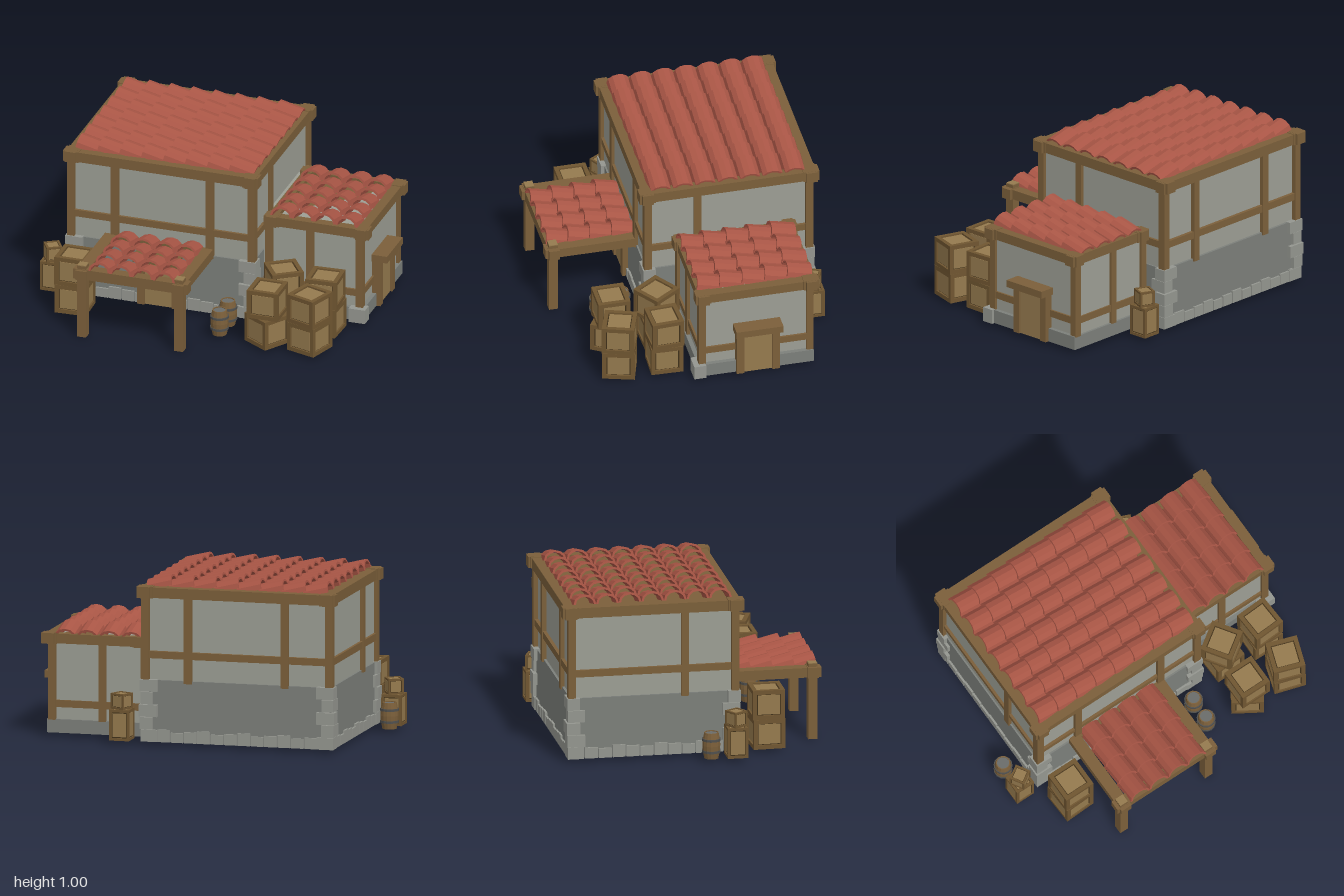
import * as THREE from 'three';

const mat = (color) => new THREE.MeshStandardMaterial({ color, flatShading: true });
const M = {
  wall: mat(0x9c9e94), base: mat(0x7c7f7a), stone: mat(0x94968f), beam: mat(0x7b5f3a),
  panel: mat(0x957a4e), dark: mat(0x3f3019), frame: mat(0x705631), tile: mat(0xa85545),
  hoop: mat(0x50504e), lid: mat(0x6a6c6a),
};
M.tile.side = THREE.DoubleSide;

// Box from its minimum and maximum corners
function span(parent, name, m, x0, x1, y0, y1, z0, z1) {
  const b = new THREE.Mesh(new THREE.BoxGeometry(x1 - x0, y1 - y0, z1 - z0), m);
  b.position.set((x0 + x1) / 2, (y0 + y1) / 2, (z0 + z1) / 2);
  b.name = name;
  parent.add(b);
  return b;
}

function group(parent, name) {
  const g = new THREE.Group();
  g.name = name;
  parent.add(g);
  return g;
}

// Arched roof tile: its raised end points to +z
function tileGeometry() {
  const n = 6, pts = [];
  const arc = (rx, ry, i) => new THREE.Vector2(Math.cos(Math.PI * i / n) * rx, Math.sin(Math.PI * i / n) * ry);
  for (let i = 0; i <= n; i++) pts.push(arc(0.067, 0.058, i));
  for (let i = n; i >= 0; i--) pts.push(arc(0.054, 0.045, i));
  const g = new THREE.ExtrudeGeometry(new THREE.Shape(pts), { depth: 0.15, bevelEnabled: false });
  g.translate(0, 0, -0.075);
  g.rotateX(-0.24);
  return g;
}
const TILE = tileGeometry();

// Rows of tiles; place(row, step) gives x and z of each tile
function tiles(parent, name, rows, steps, y, turn, place) {
  const g = group(parent, name);
  for (let r = 0; r < rows; r++) for (let s = 0; s < steps; s++) {
    const t = new THREE.Mesh(TILE, M.tile);
    const [x, z] = place(r, s);
    t.position.set(x, y, z);
    t.rotation.y = turn;
    t.name = 'roofTile';
    g.add(t);
  }
}

// Rectangle of roof beams with crossed ends at the corners
function beamRing(parent, name, x0, x1, z0, z1, y0, y1, w) {
  const g = group(parent, name);
  for (const z of [z0, z1 - w]) span(g, 'roofBeam', M.beam, x0, x1, y0, y1, z, z + w);
  for (const x of [x0, x1 - w]) span(g, 'roofBeam', M.beam, x, x + w, y0, y1, z0, z1);
  for (const x of [x0 + w / 2, x1 - w / 2]) for (const z of [z0 + w / 2, z1 - w / 2]) {
    const a = w / 2 + 0.018, b = w / 2 + 0.004;
    span(g, 'beamEnd', M.beam, x - a, x + a, y0 - 0.003, y1 + 0.003, z - b, z + b);
    span(g, 'beamEnd', M.beam, x - b, x + b, y0 - 0.002, y1 + 0.004, z - a, z + a);
  }
}

// Row of stones along the foot of the walls, around a rectangle
function footStones(parent, x0, x1, z0, z1, h) {
  const g = group(parent, 'footStones');
  const row = (a, b, put) => {
    const n = Math.round((b - a) / 0.083), s = (b - a) / n;
    for (let i = 0; i < n; i++) put(a + i * s + 0.003, a + (i + 1) * s - 0.003, h - 0.008 * (i % 3));
  };
  for (const z of [z0, z1]) row(x0, x1, (a, b, t) => span(g, 'footStone', M.stone, a, b, 0.022, t, z - 0.012, z + 0.012));
  for (const x of [x0, x1]) row(z0, z1, (a, b, t) => span(g, 'footStone', M.stone, x - 0.012, x + 0.012, 0.022, t, a, b));
}

// Corner stones with alternating long sides
function quoins(parent, x, z, sx, sz, count, h) {
  const g = group(parent, 'cornerStones');
  for (let i = 0; i < count; i++) {
    const lx = i % 2 ? 0.055 : 0.085, lz = i % 2 ? 0.085 : 0.055, o = 0.016 + 0.004 * (i % 3);
    const xs = [x + sx * o, x - sx * lx].sort((a, b) => a - b);
    const zs = [z + sz * o, z - sz * lz].sort((a, b) => a - b);
    span(g, 'cornerStone', M.stone, ...xs, 0.022 + i * h, 0.018 + (i + 1) * h, ...zs);
  }
}

// Door with jambs and lintel, facing +z from its foot
function door(parent, x, z, turn) {
  const g = group(parent, 'door');
  span(g, 'doorPanel', M.panel, -0.085, 0.085, 0, 0.29, -0.03, 0.012);
  for (const s of [-1, 1]) span(g, 'doorJamb', M.beam, s * 0.106 - 0.022, s * 0.106 + 0.022, 0, 0.29, -0.03, 0.025);
  span(g, 'doorLintel', M.beam, -0.14, 0.14, 0.287, 0.33, -0.03, 0.07);
  g.position.set(x, 0.025, z);
  g.rotation.y = turn;
}

// Crate: dark core, inset panels, twelve edge bars
function crate(parent, x, y, z, w, h, turn) {
  const g = group(parent, 'crate'), t = w * 0.13;
  const add = (name, m, a, b, c, px = 0, py = 0, pz = 0) =>
    span(g, name, m, px - a / 2, px + a / 2, py - b / 2, py + b / 2, pz - c / 2, pz + c / 2);
  add('crateCore', M.dark, w * 0.88, h - w * 0.12, w * 0.88);
  const pw = (w - 2 * t) * 0.92, ph = (h - 2 * t) * 0.92;
  add('cratePanel', M.panel, w * 0.93, ph, pw);
  add('cratePanel', M.panel, pw, h - w * 0.07, pw);
  add('cratePanel', M.panel, pw, ph, w * 0.93);
  for (const i of [-1, 1]) for (const j of [-1, 1]) {
    const e = (w - t) / 2, f = (h - t) / 2;
    add('crateBar', M.frame, w, t, t, 0, i * f, j * e);
    add('crateBar', M.frame, t, h, t, i * e, 0, j * e);
    add('crateBar', M.frame, t, t, w, i * e, j * f, 0);
  }
  g.position.set(x, y + h / 2, z);
  g.rotation.y = turn;
}

// Barrel with two hoops and a sunken lid
function barrel(parent, x, z) {
  const g = group(parent, 'barrel');
  const lathe = (name, m, p) => {
    const b = new THREE.Mesh(new THREE.LatheGeometry(p.map(([r, y]) => new THREE.Vector2(r, y)), 14), m);
    b.name = name;
    g.add(b);
  };
  lathe('barrelStaves', M.beam, [[0, 0], [0.042, 0], [0.051, 0.045], [0.053, 0.078], [0.051, 0.11], [0.042, 0.155], [0.036, 0.155], [0.036, 0.148]]);
  lathe('barrelLid', M.lid, [[0.038, 0.15], [0, 0.15]]);
  for (const y of [0.036, 0.106]) lathe('barrelHoop', M.hoop, [[0.048, y], [0.055, y], [0.055, y + 0.014], [0.048, y + 0.014]]);
  g.position.set(x, 0.022, z);
}

export function createModel() {
  const root = new THREE.Group();
  root.name = 'tradersHouse';

  // Main house
  const main = group(root, 'mainHouse');
  span(main, 'mainWalls', M.wall, -0.81, 0.3, 0.1, 0.9, -0.73, 0.23);
  span(main, 'stoneBase', M.base, -0.82, 0.31, 0.025, 0.385, -0.745, 0.24);
  footStones(main, -0.82, 0.31, -0.745, 0.24, 0.095);
  for (const [x, sx] of [[-0.82, -1], [0.31, 1]]) for (const [z, sz] of [[-0.745, -1], [0.24, 1]]) {
    quoins(main, x, z, sx, sz, 5, 0.074);
    span(main, 'cornerPost', M.beam, x - 0.01 - sx * 0.012, x + 0.01 + (-sx) * 0.012, 0.38, 0.88, z - 0.01, z + 0.01);
    span(main, 'cornerPost', M.beam, Math.min(x + sx * 0.012, x - sx * 0.033), Math.max(x + sx * 0.012, x - sx * 0.033),
      0.38, 0.88, Math.min(z + sz * 0.012, z - sz * 0.033), Math.max(z + sz * 0.012, z - sz * 0.033));
  }
  for (const z of [-0.735, 0.23]) {
    span(main, 'wallRail', M.beam, -0.81, 0.3, 0.513, 0.555, z - 0.016, z + 0.016);
    for (const x of [-0.54, 0.043]) span(main, 'wallPost', M.beam, x - 0.023, x + 0.023, 0.37, 0.88, z - 0.02, z + 0.02);
  }
  for (const x of [-0.81, 0.3]) {
    span(main, 'wallRail', M.beam, x - 0.016, x + 0.016, 0.513, 0.555, -0.73, 0.23);
    span(main, 'wallPost', M.beam, x - 0.02, x + 0.02, 0.37, 0.88, -0.09, -0.045);
  }
  beamRing(main, 'mainRoofBeams', -0.833, 0.328, -0.773, 0.263, 0.872, 0.933, 0.06);
  span(main, 'roofDeck', M.beam, -0.8, 0.3, 0.88, 0.91, -0.74, 0.23);
  tiles(main, 'mainRoofTiles', 7, 8, 0.925, -Math.PI / 2, (r, s) => [-0.72 + s * 0.1345, -0.653 + r * 0.1335]);
  door(main, -0.265, 0.25, 0);

  // Side annex
  const annex = group(root, 'annex');
  span(annex, 'annexWalls', M.wall, 0.28, 0.905, 0.08, 0.585, -0.6, 0.05);
  span(annex, 'annexBase', M.base, 0.28, 0.93, 0.025, 0.105, -0.615, 0.075);
  quoins(annex, 0.93, 0.085, 1, 1, 1, 0.09);
  for (const z of [-0.595, 0.048]) {
    for (const x of [0.345, 0.597, 0.9]) span(annex, 'annexPost', M.beam, x - 0.022, x + 0.022, 0.1, 0.56, z - 0.021, z + 0.021);
    span(annex, 'annexRail', M.beam, 0.31, 0.9, 0.175, 0.217, z - 0.015, z + 0.015);
  }
  span(annex, 'annexRail', M.beam, 0.89, 0.917, 0.175, 0.217, -0.59, 0.04);
  beamRing(annex, 'annexRoofBeams', 0.335, 0.942, -0.627, 0.073, 0.553, 0.61, 0.057);
  span(annex, 'annexRoofDeck', M.beam, 0.34, 0.92, 0.56, 0.585, -0.61, 0.06);
  tiles(annex, 'annexRoofTiles', 4, 5, 0.602, 0, (r, s) => [0.42 + r * 0.1335, 0.0 - s * 0.1345]);
  door(annex, 0.93, -0.278, Math.PI / 2);

  // Porch
  const porch = group(root, 'porch');
  for (const x of [-0.568, 0.028]) {
    span(porch, 'porchPost', M.beam, x - 0.027, x + 0.027, 0, 0.455, 0.703, 0.757);
    span(porch, 'porchPostTop', M.panel, x - 0.026, x + 0.026, 0.455, 0.46, 0.704, 0.756);
    span(porch, 'porchSideBeam', M.beam, x - 0.033, x + 0.037, 0.375, 0.433, 0.24, 0.78);
  }
  span(porch, 'porchFrontBeam', M.beam, -0.617, 0.085, 0.373, 0.436, 0.698, 0.762);
  span(porch, 'porchWallBeam', M.beam, -0.59, 0.06, 0.38, 0.43, 0.235, 0.265);
  tiles(porch, 'porchRoofTiles', 4, 4, 0.42, 0, (r, s) => [-0.458 + r * 0.1325, 0.692 - s * 0.13]);

  // Stacked crates: x, z, lower turn, upper turn
  const stacks = [[-0.72, 0.43, 0.04, 0], [0.49, 0.22, 0.03, 0.6], [0.75, 0.235, -0.03, 0.05],
    [0.482, 0.49, -0.56, 0], [0.745, 0.5, -0.3, -0.33]];
  for (const [x, z, a, b] of stacks) {
    crate(root, x, 0.018, z, 0.19, 0.178, a);
    crate(root, x, 0.196, z, 0.19, 0.176, b);
  }
  for (const [x, z, a] of [[-0.93, 0.215, 0.55], [0.45, -0.72, -0.4]]) {
    crate(root, x, 0.022, z, 0.12, 0.182, 0);
    crate(root, x, 0.204, z, 0.092, 0.092, a);
  }

  // Barrels
  for (const [x, z] of [[0.195, 0.36], [0.19, 0.495], [-0.945, 0.065]]) barrel(root, x, z);
  return root;
}
